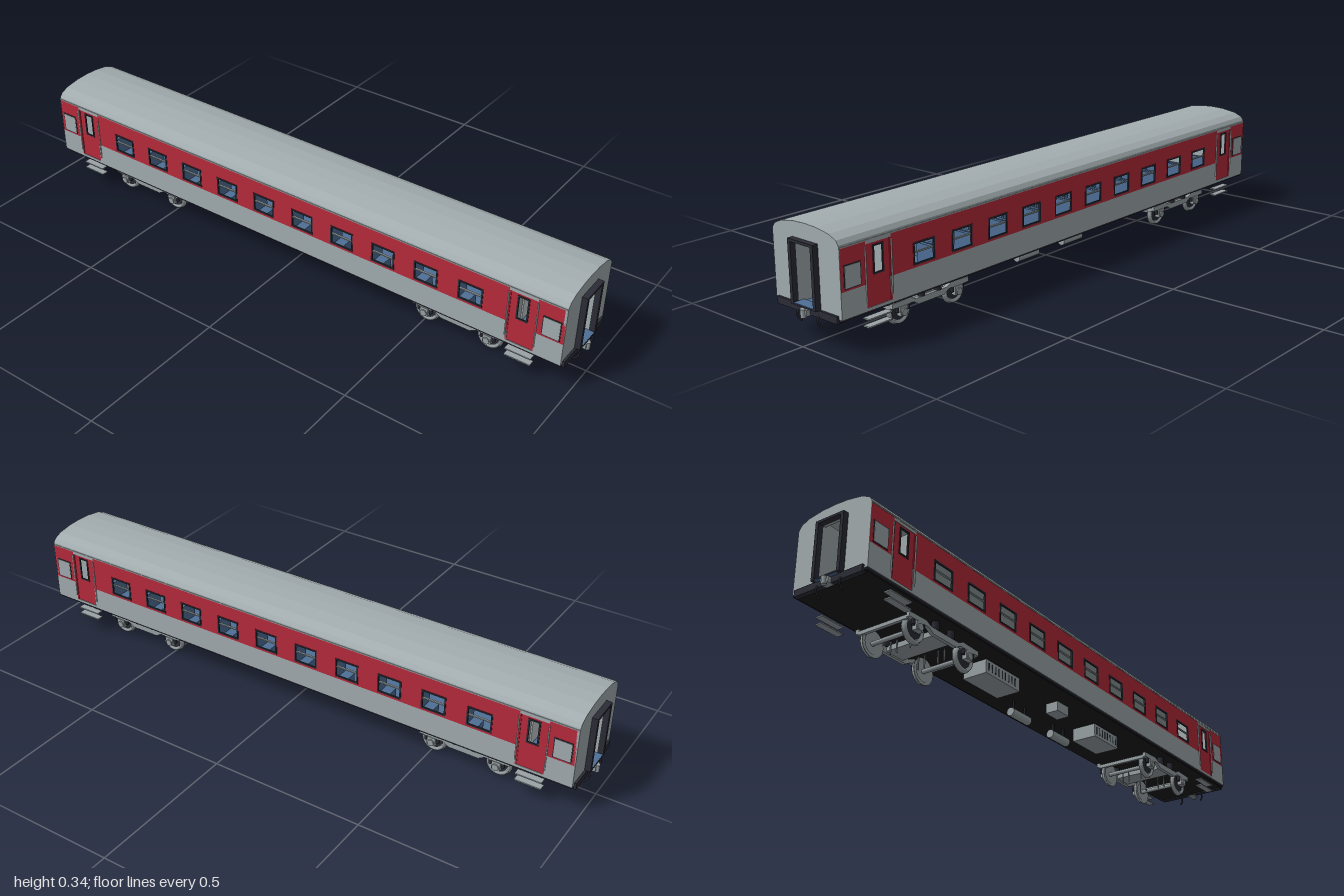
import * as THREE from 'three';

const mat = (name, color, side = THREE.FrontSide) => {
  const m = new THREE.MeshStandardMaterial({ color, side });
  m.name = name;
  return m;
};

export function createModel() {
  const root = new THREE.Group();
  root.name = 'passengerCoach';
  const grey = mat('bodyGrey', 0xa3adb0);
  const red = mat('bandRed', 0xb82a3b);
  const dark = mat('rubberBlack', 0x2b2c36);
  const under = mat('undersideBlack', 0x1b1b1e);
  const steel = mat('steelGrey', 0x9aa3a6);
  const pale = mat('panelPale', 0xc4cacc);
  const blue = mat('interiorBlue', 0x4f6f96);

  const add = (parent, name, geo, m, x = 0, y = 0, z = 0) => {
    const mesh = new THREE.Mesh(geo, m);
    mesh.name = name;
    mesh.position.set(x, y, z);
    parent.add(mesh);
    return mesh;
  };
  // box from its ranges on each axis
  const box = (parent, name, m, x0, x1, y0, y1, z0, z1) =>
    add(parent, name, new THREE.BoxGeometry(x1 - x0, y1 - y0, z1 - z0), m, (x0 + x1) / 2, (y0 + y1) / 2, (z0 + z1) / 2);
  const cyl = (parent, name, m, r, len, axis, x, y, z, seg = 20) => {
    const g = new THREE.CylinderGeometry(r, r, len, seg);
    if (axis === 'x') g.rotateZ(Math.PI / 2);
    if (axis === 'z') g.rotateX(Math.PI / 2);
    return add(parent, name, g, m, x, y, z);
  };
  const rect = (C, x0, x1, y0, y1) => {
    const s = new C();
    s.moveTo(x0, y0); s.lineTo(x1, y0); s.lineTo(x1, y1); s.lineTo(x0, y1); s.closePath();
    return s;
  };
  // plate with rectangular holes, lying in the xy plane
  const plate = (outer, holes, depth) => {
    const s = rect(THREE.Shape, ...outer);
    holes.forEach(h => s.holes.push(rect(THREE.Path, ...h)));
    return new THREE.ExtrudeGeometry(s, { depth, bevelEnabled: false });
  };

  // ---- side walls ----
  const windows = Array.from({ length: 10 }, (_, i) => -0.674 + i * 0.1498);
  const W = 0.134, T = 0.006, L = 0.972;
  const side = () => {
    const g = new THREE.Group();
    const z = W - T;
    box(g, 'lowerWall', grey, -0.8, 0.8, 0.1, 0.175, z, W);
    const holes = windows.map(x => [x - 0.04, x + 0.04, 0.183, 0.246]);
    add(g, 'redBand', plate([-0.795, 0.795, 0.175, 0.295], holes, T), red, 0, 0, z);
    for (const x of windows) {
      add(g, 'windowFrame', plate([x - 0.041, x + 0.041, 0.182, 0.247],
        [[x - 0.036, x + 0.036, 0.187, 0.242]], 0.005), dark, 0, 0, W - 0.0035);
      box(g, 'windowBar', steel, x - 0.036, x + 0.036, 0.216, 0.22, z, W);
    }
    for (const s of [-1, 1]) {
      const end = new THREE.Group();
      end.name = 'wallEnd';
      end.position.x = s * 0.84;
      g.add(end);
      // entrance door with its tall window
      add(end, 'door', plate([-0.04, 0.04, 0.108, 0.285], [[-0.017, 0.017, 0.197, 0.276]], 0.005), red, 0, 0, z - 0.001);
      add(end, 'doorWindowFrame', plate([-0.019, 0.019, 0.195, 0.278], [[-0.014, 0.014, 0.2, 0.273]], 0.004), dark, 0, 0, z + 0.002);
      box(end, 'doorHead', grey, -0.045, 0.045, 0.285, 0.295, z, W);
      box(end, 'doorSill', grey, -0.045, 0.045, 0.1, 0.108, z, W);
      for (const e of [-1, 1]) {
        box(end, 'doorPost', red, e * 0.0425 - 0.0025, e * 0.0425 + 0.0025, 0.108, 0.285, z, W);
        box(end, 'handrail', pale, e * 0.046 - 0.0015, e * 0.046 + 0.0015, 0.125, 0.28, W, W + 0.003);
      }
      // washroom corner
      const a = s > 0 ? [0.045, L - 0.84] : [0.84 - L, -0.045];
      box(end, 'lowerCorner', grey, ...a, 0.1, 0.175, z, W);
      box(end, 'redCorner', red, ...a, 0.175, 0.295, z, W);
      const c = s * 0.092;
      box(end, 'washroomFrame', dark, c - 0.029, c + 0.029, 0.18, 0.247, W, W + 0.001);
      box(end, 'washroomPane', grey, c - 0.026, c + 0.026, 0.183, 0.244, W, W + 0.002);
      // folding steps
      for (const y of [0.052, 0.074])
        box(end, 'step', steel, -0.042, 0.042, y - 0.002, y + 0.002, 0.111, W);
    }
    box(g, 'gutter', steel, -L, L, 0.294, 0.298, z, W + 0.001);
    box(g, 'solebar', dark, -L, L, 0.094, 0.1, z - 0.008, W - 0.002);
    return g;
  };
  for (const s of [0, 1]) {
    const g = side();
    g.name = s ? 'backSide' : 'frontSide';
    g.rotation.y = s * Math.PI;
    root.add(g);
  }

  // ---- roof shell and ends, swept along x ----
  const arc = [[0.134, 0.296], [0.132, 0.303], [0.123, 0.315], [0.096, 0.327], [0.046, 0.335], [0, 0.337]];
  const over = [...arc, ...arc.slice(0, -1).reverse().map(([z, y]) => [-z, y])];
  const v2 = pts => pts.map(([a, b]) => new THREE.Vector2(a, b));
  const sweep = (shape, len) => {
    const g = new THREE.ExtrudeGeometry(shape, { depth: len, bevelEnabled: false });
    g.translate(0, 0, -len / 2);
    return g.rotateY(Math.PI / 2);
  };
  const inner = [...over].reverse().map(([z, y]) => [z * 0.95, y - 0.007]);
  add(root, 'roof', sweep(new THREE.Shape(v2([...over, ...inner])), 2 * L), grey);
  const doorHole = rect(THREE.Path, -0.04, 0.04, 0.112, 0.283);
  for (const s of [-1, 1]) {
    const end = new THREE.Shape(v2([[-W, 0.1], [W, 0.1], ...over]));
    end.holes.push(doorHole);
    add(root, 'endWall', sweep(end, 0.008), grey, s * (L - 0.003));
    // gangway surround
    const ring = rect(THREE.Shape, -0.051, 0.051, 0.108, 0.291);
    ring.holes.push(doorHole);
    add(root, 'gangwayFrame', sweep(ring, 0.018), dark, s * 0.982);
    box(root, 'gangwayStep', blue, s * 0.972 - 0.018, s * 0.972 + 0.018, 0.107, 0.113, -0.04, 0.04);
    // inner partition and its door
    box(root, 'partition', grey, s * 0.79 - 0.003, s * 0.79 + 0.003, 0.105, 0.3, -0.127, 0.127);
    box(root, 'partitionDoor', pale, s * 0.795 - 0.002, s * 0.795 + 0.002, 0.112, 0.28, -0.035, 0.035);
    for (const z of [-1, 1])
      box(root, 'washroomWall', grey, s * 0.932 - 0.036, s * 0.932 + 0.036, 0.105, 0.3, z * 0.045 - 0.003, z * 0.045 + 0.003);

    // buffer beam, coupler and hoses
    box(root, 'bufferBeam', dark, s * 0.972 - 0.008, s * 0.972 + 0.008, 0.088, 0.109, -0.122, 0.122);
    box(root, 'couplerBlock', steel, s * 0.98 - 0.012, s * 0.98 + 0.012, 0.086, 0.104, -0.014, 0.014);
    cyl(root, 'couplerHead', steel, 0.008, 0.024, 'y', s * 0.992, 0.093, 0, 12);
    for (const z of [-0.048, 0.035]) {
      const path = new THREE.CatmullRomCurve3([[0.97, 0.094], [0.983, 0.088], [0.984, 0.076], [0.97, 0.058]]
        .map(([x, y]) => new THREE.Vector3(s * x, y, s * z)));
      add(root, 'brakeHose', new THREE.TubeGeometry(path, 12, 0.003, 8), dark);
    }
  }

  // ---- floor and seating ----
  box(root, 'underside', under, -L, L, 0.092, 0.1, -0.127, 0.127);
  box(root, 'floor', blue, -L + 0.004, L - 0.004, 0.1, 0.107, -0.127, 0.127);
  for (const x of windows)
    for (const z of [-0.08, 0.08])
      for (const e of [-1, 1]) {
        box(root, 'seatCushion', blue, x + e * 0.045 - 0.018, x + e * 0.045 + 0.018, 0.107, 0.145, z - 0.038, z + 0.038);
        box(root, 'seatBack', blue, x + e * 0.066 - 0.006, x + e * 0.066 + 0.006, 0.107, 0.205, z - 0.038, z + 0.038);
      }

  // ---- bogies ----
  const tread = new THREE.LatheGeometry(v2([[0, -0.003], [0.03, -0.003], [0.032, -0.006], [0.042, -0.006],
    [0.042, -0.003], [0.039, -0.001], [0.038, 0.007], [0.031, 0.007], [0.029, 0.002], [0, 0.002]]), 28).rotateX(Math.PI / 2);
  for (const s of [-1, 1]) {
    const b = new THREE.Group();
    b.name = 'bogie';
    b.position.x = s * 0.615;
    root.add(b);
    for (const ax of [-0.108, 0.108]) {
      cyl(b, 'axle', steel, 0.007, 0.19, 'z', ax, 0.042, 0, 12);
      for (const z of [-1, 1]) {
        const w = add(b, 'wheel', tread, steel, ax, 0.042, z * 0.075);
        if (z < 0) w.rotation.y = Math.PI;
        cyl(b, 'wheelWeb', dark, 0.028, 0.002, 'z', ax, 0.042, z * 0.0775, 24);
        box(b, 'axleBox', steel, ax - 0.014, ax + 0.014, 0.032, 0.06, z * 0.092 - 0.008, z * 0.092 + 0.008);
        cyl(b, 'axleCap', steel, 0.011, 0.006, 'z', ax, 0.042, z * 0.101, 16);
        for (const e of [-1, 1])
          cyl(b, 'axleSpring', dark, 0.006, 0.018, 'y', ax + e * 0.02, 0.053, z * 0.092, 10);
        // brake hangers
        box(b, 'brakeHanger', steel, ax * 0.55 - 0.002, ax * 0.55 + 0.002, 0.022, 0.062, z * 0.048 - 0.0015, z * 0.048 + 0.0015);
        box(b, 'brakeHanger', steel, ax * 0.55 - 0.002, ax * 0.55 + 0.002, 0.022, 0.062, z * 0.025 - 0.0015, z * 0.025 + 0.0015);
      }
    }
    for (const z of [-1, 1]) {
      // side frame, dropped in the middle
      const f = new THREE.Shape(v2([[-0.15, 0.06], [-0.07, 0.06], [-0.05, 0.048], [0.05, 0.048], [0.07, 0.06],
        [0.15, 0.06], [0.15, 0.075], [0.08, 0.077], [0.06, 0.067], [-0.06, 0.067], [-0.08, 0.077], [-0.15, 0.075]]));
      add(b, 'sideFrame', new THREE.ExtrudeGeometry(f, { depth: 0.012, bevelEnabled: false }), steel, 0, 0, z * 0.092 - 0.006);
      for (const e of [-1, 1])
        cyl(b, 'bolsterSpring', dark, 0.011, 0.027, 'y', e * 0.033, 0.08, z * 0.09, 14);
    }
    box(b, 'bolster', steel, -0.035, 0.035, 0.053, 0.07, -0.088, 0.088);
    cyl(b, 'pivot', dark, 0.022, 0.026, 'y', 0, 0.081, 0);
    for (const e of [-1, 1])
      box(b, 'endTransom', steel, e * 0.145 - 0.005, e * 0.145 + 0.005, 0.056, 0.068, -0.088, 0.088);
  }

  // ---- underfloor equipment ----
  for (const [x0, x1] of [[-0.4, -0.235], [0.18, 0.318]]) {
    box(root, 'batteryBox', steel, x0, x1, 0.042, 0.086, -0.008, 0.076);
    box(root, 'batteryHanger', dark, x0 + 0.01, x1 - 0.01, 0.086, 0.093, 0, 0.07);
    for (let x = x0 + 0.014; x < x1 - 0.008; x += 0.016)
      box(root, 'ventSlot', dark, x - 0.002, x + 0.002, 0.052, 0.077, 0.076, 0.077);
  }
  for (const x of [-0.07, 0.147]) {
    cyl(root, 'airTank', steel, 0.014, 0.095, 'x', x, 0.051, -0.045);
    for (const e of [-1, 1])
      box(root, 'tankStrap', dark, x + e * 0.03 - 0.003, x + e * 0.03 + 0.003, 0.06, 0.093, -0.048, -0.042);
  }
  box(root, 'controlBox', steel, -0.024, 0.038, 0.06, 0.092, 0.025, 0.07);
  return root;
}
